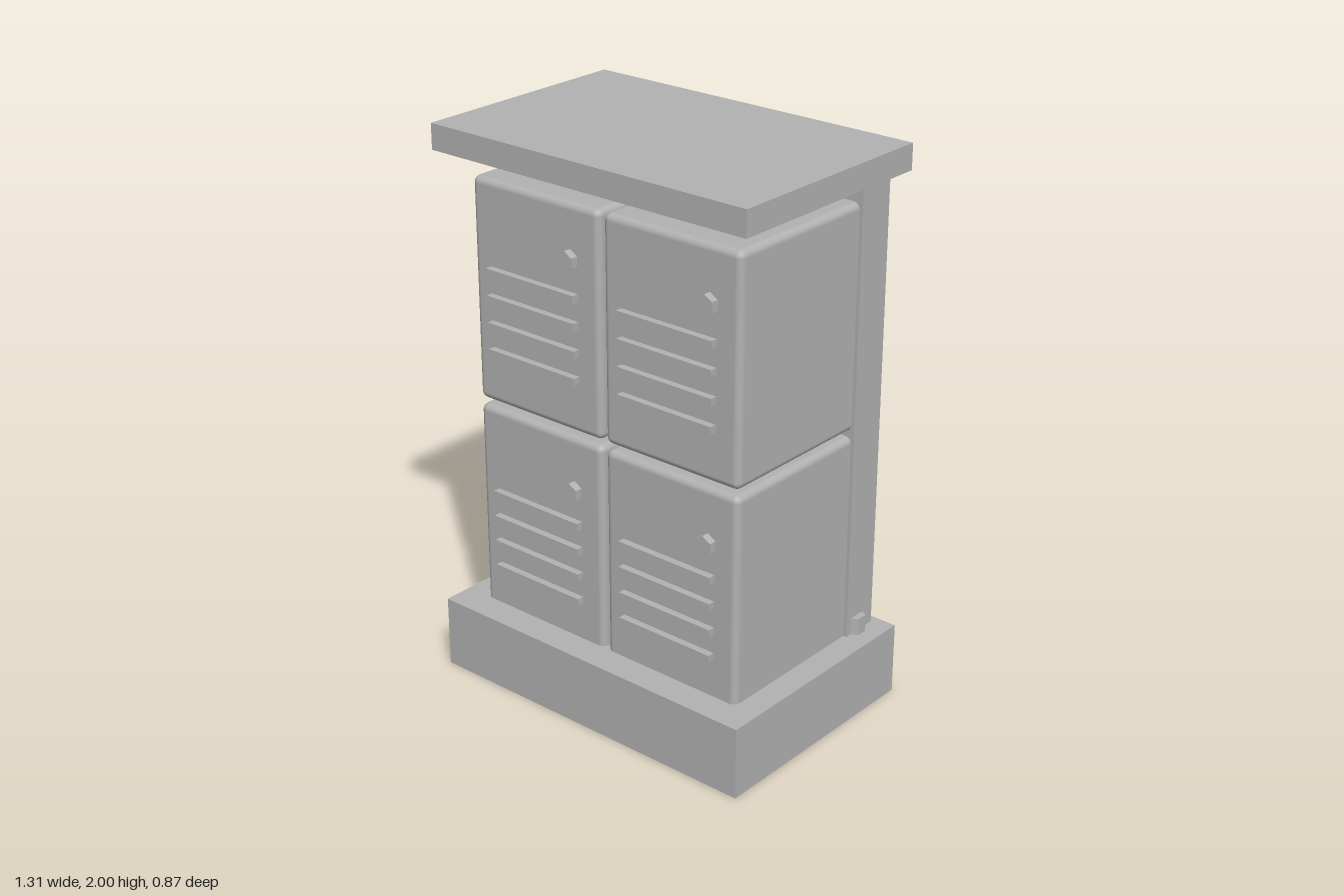
import * as THREE from 'three';
import { RoundedBoxGeometry } from 'three/addons/geometries/RoundedBoxGeometry.js';

export function createModel() {
  const model = new THREE.Group();
  model.name = 'lockerCabinet';
  const grey = new THREE.MeshStandardMaterial({ color: 0xb2b2b2 });
  grey.name = 'grey';

  const add = (parent, name, geometry, x, y, z) => {
    const mesh = new THREE.Mesh(geometry, grey);
    mesh.name = name;
    mesh.position.set(x, y, z);
    parent.add(mesh);
    return mesh;
  };

  // Plinth, back panel and roof slab
  add(model, 'base', new THREE.BoxGeometry(1.31, 0.26, 0.874), 0, 0.13, 0);
  add(model, 'backPanel', new THREE.BoxGeometry(1.15, 1.65, 0.143), 0, 1.085, -0.3345);
  add(model, 'roof', new THREE.BoxGeometry(1.298, 0.09, 0.831), 0, 1.955, 0.001);

  // Four lockers; each group is centred on its box
  const boxGeometry = new RoundedBoxGeometry(0.555, 0.791, 0.63, 2, 0.025);
  const slatGeometry = new THREE.BoxGeometry(0.386, 0.026, 0.025);
  const knobGeometry = new THREE.CylinderGeometry(0.036, 0.036, 0.027, 6).toNonIndexed();
  knobGeometry.computeVertexNormals(); // faceted sides
  knobGeometry.rotateX(Math.PI / 2);

  for (const y of [0.6155, 1.4275]) {
    for (const x of [-0.285, 0.285]) {
      const locker = new THREE.Group();
      locker.name = 'locker';
      locker.position.set(x, y, 0);
      add(locker, 'lockerBody', boxGeometry, 0, 0, 0.014);
      for (let i = 0; i < 4; i++) {
        add(locker, 'ventSlat', slatGeometry, 0, 0.088 - i * 0.0953, 0.35);
      }
      add(locker, 'knob', knobGeometry, 0.184, 0.222, 0.3745);
      model.add(locker);
    }
  }

  // Hexagonal stub on the left side of the panel
  const stubGeometry = new THREE.CylinderGeometry(0.038, 0.038, 0.083, 6).toNonIndexed();
  stubGeometry.computeVertexNormals();
  add(model, 'sideStub', stubGeometry, 0.566, 0.2815, -0.319);

  return model;
}
